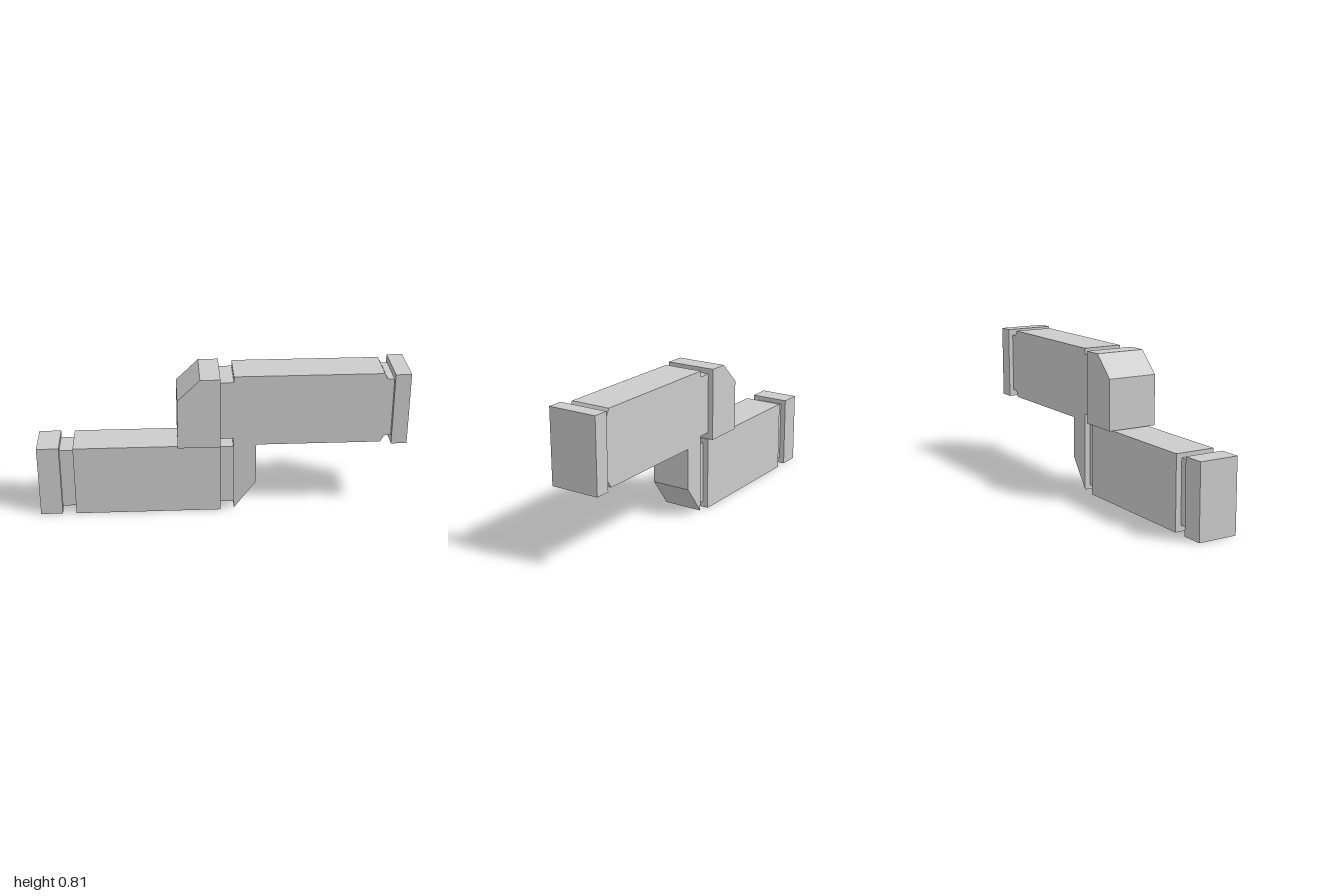
import * as THREE from 'three';

export function createModel() {
  const group = new THREE.Group();
  const material = new THREE.MeshStandardMaterial({ color: 0xcccccc, flatShading: true });

  const add = (name, geometry) => {
    const mesh = new THREE.Mesh(geometry, material);
    mesh.name = name;
    group.add(mesh);
  };

  // Box from x and y ranges, centred in depth
  const block = (name, x0, x1, y0, y1, halfDepth) => {
    const g = new THREE.BoxGeometry(x1 - x0, y1 - y0, halfDepth * 2);
    add(name, g.translate((x0 + x1) / 2, (y0 + y1) / 2, 0));
  };

  // Side profile extruded through the depth
  const slab = (name, points, halfDepth) => {
    const shape = new THREE.Shape(points.map(([x, y]) => new THREE.Vector2(x, y)));
    const g = new THREE.ExtrudeGeometry(shape, { depth: halfDepth * 2, bevelEnabled: false });
    add(name, g.translate(0, 0, -halfDepth));
  };

  // Lower arm
  block('lowerEndCap', -1, -0.88, 0, 0.402, 0.11);
  block('lowerEndNeck', -0.88, -0.805, 0.033, 0.376, 0.08);
  block('lowerBody', -0.805, -0.01, 0, 0.4, 0.112);
  block('lowerInnerNeck', -0.01, 0.065, 0.033, 0.376, 0.08);

  // Upper arm with its inner neck, bevelled outer neck and the hook hanging below
  slab('upperBodyWithHook', [
    [-0.01, 0.44], [0.062, 0.44], [0.065, 0.01], [0.185, 0.17], [0.185, 0.4],
    [0.86, 0.4], [0.88, 0.437], [0.915, 0.437], [0.915, 0.77], [0.88, 0.77],
    [0.862, 0.803], [0.062, 0.803], [0.062, 0.77], [-0.01, 0.77],
  ], 0.112);

  // Wider chamfered head of the upper arm
  slab('upperHead', [
    [-0.24, 0.404], [-0.01, 0.404], [-0.01, 0.8], [-0.118, 0.8], [-0.24, 0.682],
  ], 0.142);

  block('upperEndCap', 0.915, 1, 0.4, 0.806, 0.138);

  return group;
}
